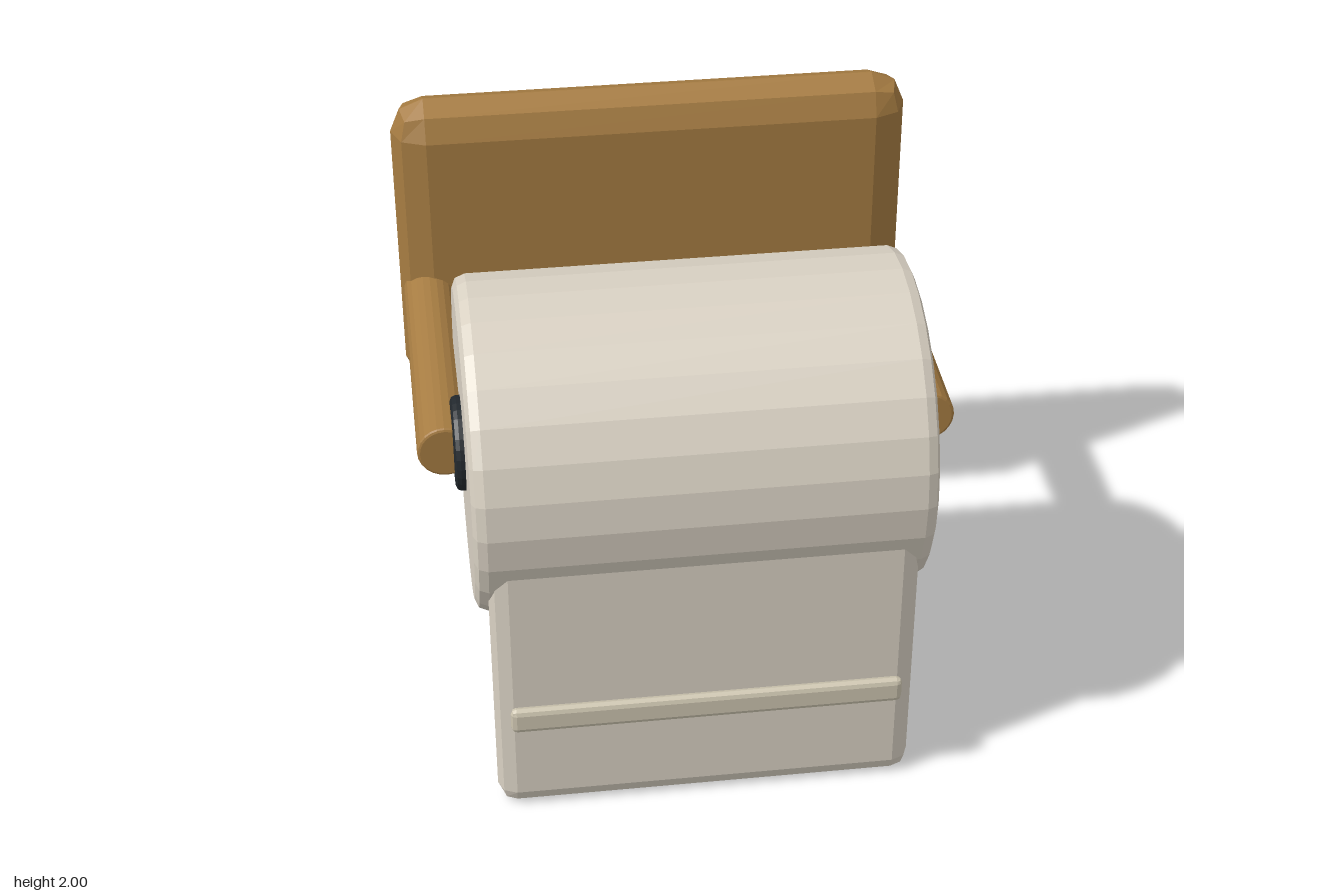
import * as THREE from 'three';

const paint = (color) => new THREE.MeshStandardMaterial({ color, flatShading: true });

// Box whose edges are rounded in two facets
function softBox(w, h, d, r) {
  const geo = new THREE.BoxGeometry(1, 1, 1, 3, 3, 3);
  const pos = geo.attributes.position;
  const core = new THREE.Vector3(w / 2 - r, h / 2 - r, d / 2 - r);
  const p = new THREE.Vector3();
  for (let i = 0; i < pos.count; i++) {
    p.fromBufferAttribute(pos, i);
    const side = new THREE.Vector3(Math.sign(p.x), Math.sign(p.y), Math.sign(p.z));
    // inner grid lines become flat-face borders, outer ones the bevel middle
    p.set(...p.toArray().map((v) => (Math.abs(v) > 0.4 ? Math.sign(v) : 0)));
    p.normalize().multiplyScalar(r).add(side.multiply(core));
    pos.setXYZ(i, p.x, p.y, p.z);
  }
  geo.computeVertexNormals();
  return geo;
}

// Closed cylinder along y with two-facet rounded rims
function softCylinder(radius, length, r, sides) {
  const pts = [new THREE.Vector2(0, -length / 2)];
  for (const end of [-1, 1]) {
    for (let k = 0; k < 3; k++) {
      const a = ((end < 0 ? 2 - k : k) * Math.PI) / 4;
      pts.push(new THREE.Vector2(radius - r + r * Math.cos(a), end * (length / 2 - r + r * Math.sin(a))));
    }
  }
  pts.push(new THREE.Vector2(0, length / 2));
  return new THREE.LatheGeometry(pts, sides);
}

export function createModel() {
  const group = new THREE.Group();
  const wood = paint(0xa67c42);
  const paper = paint(0xd9d1c3);
  const dark = paint(0x22282d);
  const trim = paint(0xcdc5b0);

  const add = (name, geo, mat, x, y, z) => {
    const mesh = new THREE.Mesh(geo, mat);
    mesh.name = name;
    mesh.position.set(x, y, z);
    group.add(mesh);
    return mesh;
  };

  // Wall board
  add('backBoard', softBox(1.91, 1.23, 0.255, 0.125), wood, 0, 1.385, -0.77);

  // Arms reaching forward from the board
  for (const s of [-1, 1]) {
    const arm = add(s > 0 ? 'leftArm' : 'rightArm', softCylinder(0.098, 1.085, 0.01, 24), wood, s * 0.848, 1.215, -0.1875);
    arm.rotation.x = Math.PI / 2;
  }

  // Paper roll and the core poking out of both ends
  const roll = add('paperRoll', softCylinder(0.588, 1.57, 0.045, 28), paper, 0, 1.215, 0.3);
  roll.rotation.z = Math.PI / 2;
  const core = add('core', softCylinder(0.167, 1.64, 0.02, 28), dark, 0, 1.215, 0.3);
  core.rotation.z = Math.PI / 2;

  // Hanging sheet with a raised strip across it
  add('hangingSheet', softBox(1.485, 1.16, 0.135, 0.065), paper, 0, 0.58, 0.785);
  add('sheetStrip', softBox(1.38, 0.098, 0.042, 0.02), trim, 0, 0.428, 0.877);

  return group;
}
